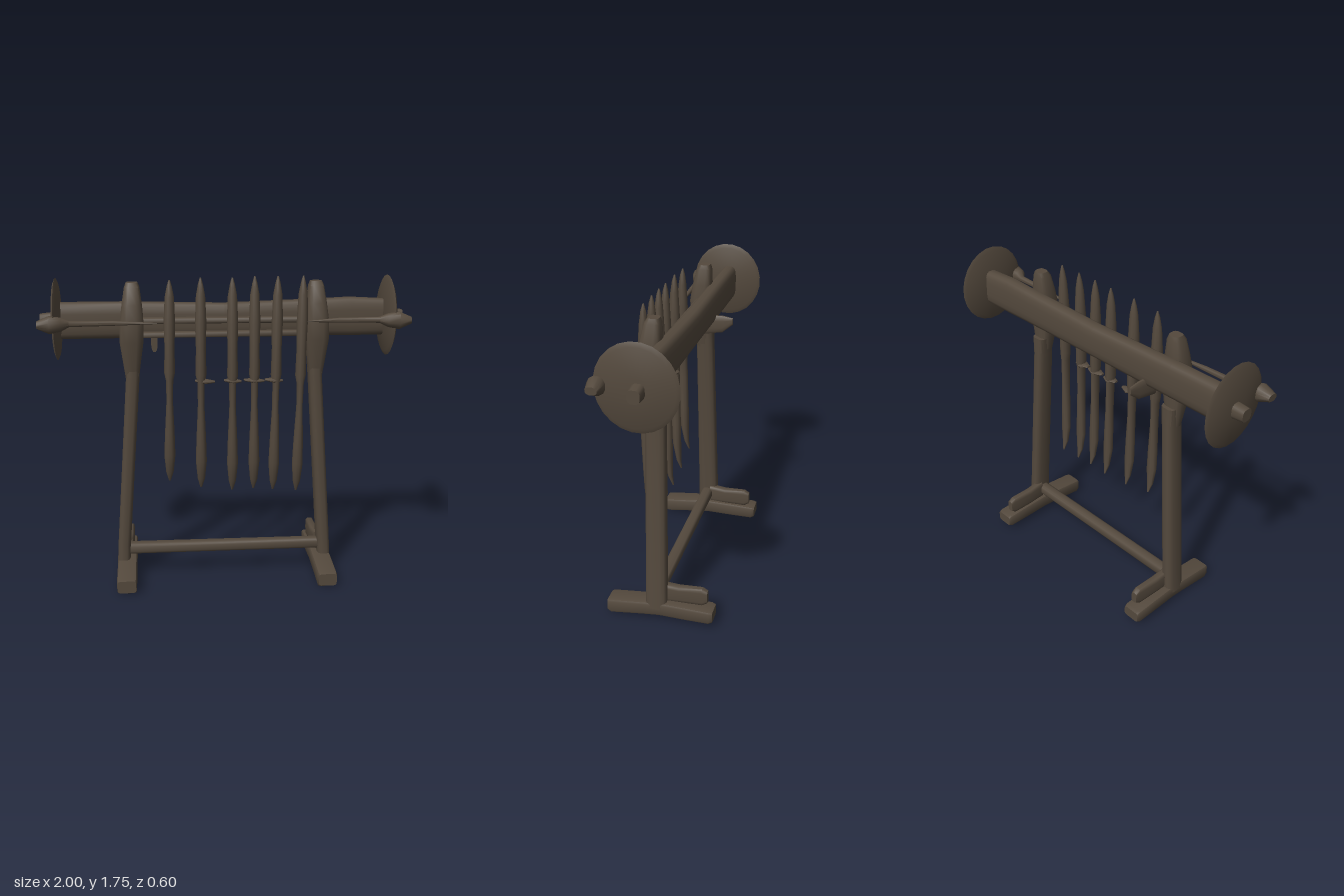
import * as THREE from 'three';
import { toCreasedNormals } from 'three/addons/utils/BufferGeometryUtils.js';

// Solid through cross-sections along an axis (0 x, 1 y, 2 z).
// Section: [position, centreU, centreV, halfU, halfV]; U and V are the next two axes in cyclic order.
// A power of 1 gives ellipses, smaller values give rounded rectangles.
function loft(axis, sections, power = 1, sides = 12, crease = 0.75) {
  const rows = [...sections].sort((a, b) => a[0] - b[0]);
  const u = (axis + 1) % 3, v = (axis + 2) % 3, pos = [], idx = [];
  const add = (a, b, c) => {
    const p = [0, 0, 0];
    p[axis] = a; p[u] = b; p[v] = c;
    pos.push(...p);
  };
  const bend = (t) => Math.sign(t) * Math.pow(Math.abs(t), power);
  for (const [t, cu, cv, hu, hv] of rows) {
    for (let j = 0; j < sides; j++) {
      const a = ((j + 0.5) / sides) * Math.PI * 2;
      add(t, cu + hu * bend(Math.cos(a)), cv + hv * bend(Math.sin(a)));
    }
  }
  const last = rows.length - 1, start = rows.length * sides;
  add(rows[0][0], rows[0][1], rows[0][2]);
  add(rows[last][0], rows[last][1], rows[last][2]);
  for (let j = 0; j < sides; j++) {
    const k = (j + 1) % sides;
    for (let i = 0; i < last; i++) {
      const a = i * sides + j, b = i * sides + k;
      idx.push(a, b, a + sides, b, b + sides, a + sides);
    }
    idx.push(start, k, j, start + 1, last * sides + j, last * sides + k);
  }
  const g = new THREE.BufferGeometry();
  g.setAttribute('position', new THREE.Float32BufferAttribute(pos, 3));
  g.setIndex(idx);
  return toCreasedNormals(g, crease);
}

export function createModel() {
  const model = new THREE.Group();
  model.name = 'knifeRack';
  const wood = new THREE.MeshStandardMaterial({ color: 0x54493d });
  wood.name = 'darkWood';
  const part = (name, geometry, parent = model) => {
    const mesh = new THREE.Mesh(geometry, wood);
    mesh.name = name;
    parent.add(mesh);
    return mesh;
  };

  // Main beam with stub axles beyond the end discs
  part('beam', loft(0, [
    [-0.915, 1.505, -0.02, 0.1, 0.045], [-0.55, 1.505, -0.02, 0.1, 0.045],
    [0, 1.5, -0.018, 0.092, 0.048], [0.55, 1.508, -0.02, 0.102, 0.045],
    [0.7, 1.51, -0.02, 0.107, 0.045], [0.915, 1.505, -0.02, 0.1, 0.045],
  ], 0.6, 16));
  part('axle', loft(0, [
    [-1, 1.51, -0.02, 0.034, 0.032], [-0.9, 1.51, -0.02, 0.045, 0.036],
    [0.9, 1.51, -0.02, 0.045, 0.036], [1, 1.51, -0.02, 0.034, 0.032],
  ], 0.7));

  // Rails along the front of the beam
  part('upperRail', loft(0, [[-0.52, 1.51, 0.045, 0.016, 0.03], [0.52, 1.505, 0.045, 0.016, 0.03]], 0.4));
  part('lowerRail', loft(0, [[-0.5, 1.43, 0.035, 0.016, 0.03], [0.5, 1.43, 0.035, 0.016, 0.03]], 0.4));

  // Crossbar between the legs
  part('crossbar', loft(0, [[-0.57, 0.168, 0.02, 0.034, 0.034], [0.57, 0.165, 0.02, 0.032, 0.034]], 0.6));

  // Peg behind the beam
  part('peg', loft(2, [
    [-0.16, -0.385, 1.42, 0.008, 0.02], [-0.1, -0.385, 1.4, 0.014, 0.05], [0.02, -0.385, 1.39, 0.018, 0.06],
  ], 0.7));

  for (const s of [-1, 1]) {
    const side = new THREE.Group();
    side.name = s > 0 ? 'leftStand' : 'rightStand';
    model.add(side);

    // Foot, raised towards the back, with a heel block
    part('foot', loft(2, [
      [-0.3, s * 0.57, 0.075, 0.05, 0.032], [-0.28, s * 0.57, 0.073, 0.056, 0.04],
      [-0.15, s * 0.57, 0.075, 0.056, 0.042], [0, s * 0.57, 0.078, 0.056, 0.042],
      [0.1, s * 0.57, 0.068, 0.056, 0.042], [0.28, s * 0.57, 0.047, 0.056, 0.044],
      [0.3, s * 0.57, 0.05, 0.052, 0.036],
    ], 0.3), side);
    part('heelBlock', loft(2, [
      [-0.26, s * 0.552, 0.165, 0.018, 0.035], [-0.23, s * 0.552, 0.163, 0.022, 0.053],
      [-0.1, s * 0.555, 0.16, 0.025, 0.05], [0, s * 0.56, 0.165, 0.025, 0.055],
    ], 0.4), side);

    // Leg leaning inward, swelling into the head that carries the beam
    part('leg', loft(1, [
      [0.08, 0.02, s * 0.59, 0.06, 0.038], [0.2, 0.02, s * 0.584, 0.06, 0.037],
      [1.2, 0.03, s * 0.508, 0.052, 0.038], [1.31, 0.03, s * 0.505, 0.05, 0.045],
    ], 0.6), side);
    part('legHead', loft(1, [
      [1.18, 0.04, s * 0.51, 0.03, 0.035], [1.4, 0.055, s * 0.508, 0.06, 0.066],
      [1.5, 0.06, s * 0.505, 0.062, 0.066], [1.6, 0.05, s * 0.502, 0.055, 0.055],
      [1.69, 0.04, s * 0.5, 0.042, 0.042], [1.715, 0.035, s * 0.5, 0.03, 0.032],
    ], 0.6), side);

    // Lens-shaped end disc
    part('endDisc', loft(0, [
      [s * 0.885, 1.515, -0.005, 0.06, 0.06], [s * 0.9, 1.515, -0.005, 0.2, 0.19],
      [s * 0.91, 1.515, -0.005, 0.223, 0.208], [s * 0.92, 1.515, -0.005, 0.2, 0.19],
      [s * 0.935, 1.515, -0.005, 0.06, 0.06],
    ], 1, 24, 0.6), side);

    // Tapered spike with a knob at its outer end
    part('spike', loft(0, [
      [s * 0.995, 1.515, 0.18, 0.02, 0.03], [s * 0.93, 1.515, 0.18, 0.048, 0.045],
      [s * 0.87, 1.515, 0.175, 0.036, 0.035], [s * 0.83, 1.515, 0.158, 0.016, 0.018],
      [s * 0.6, 1.515, 0.155, 0.013, 0.014], [s * (s > 0 ? 0.44 : 0.37), 1.51, 0.15, 0.003, 0.004],
    ], 0.9), side);
  }

  // Hanging knives: [top x, bottom x, top y, bottom y, guard left, guard right]
  const knives = [
    [-0.3, -0.315, 1.735, 0.6], [-0.135, -0.137, 1.745, 0.555, -0.168, -0.06],
    [0.035, 0.04, 1.745, 0.535, -0.01, 0.085], [0.155, 0.162, 1.75, 0.54, 0.1, 0.212],
    [0.28, 0.274, 1.75, 0.53, 0.215, 0.315], [0.417, 0.408, 1.75, 0.52],
  ];
  // Knife outline: [height fraction, z, half depth, half width]
  const outline = [
    [0, 0.082, 0.004, 0.005], [0.05, 0.098, 0.014, 0.021], [0.14, 0.108, 0.024, 0.031],
    [0.25, 0.112, 0.027, 0.027], [0.42, 0.118, 0.029, 0.018], [0.52, 0.12, 0.03, 0.02],
    [0.56, 0.12, 0.032, 0.03], [0.68, 0.12, 0.035, 0.027], [0.8, 0.12, 0.032, 0.031],
    [0.92, 0.118, 0.022, 0.025], [0.97, 0.117, 0.014, 0.014], [1, 0.116, 0.004, 0.004],
  ];
  for (const [xt, xb, yt, yb, g0, g1] of knives) {
    const knife = new THREE.Group();
    knife.name = 'knife';
    model.add(knife);
    part('knifeBody', loft(1, outline.map(([t, z, d, w]) =>
      [yb + (yt - yb) * t, z, xb + (xt - xb) * t, d, w]), 1, 10, 1), knife);
    if (g0 !== undefined) {
      part('guard', loft(0, [
        [g0, 1.187, 0.12, 0.006, 0.012], [(g0 + g1) / 2, 1.183, 0.12, 0.014, 0.036],
        [g1, 1.18, 0.12, 0.006, 0.01],
      ]), knife);
    }
  }
  return model;
}
